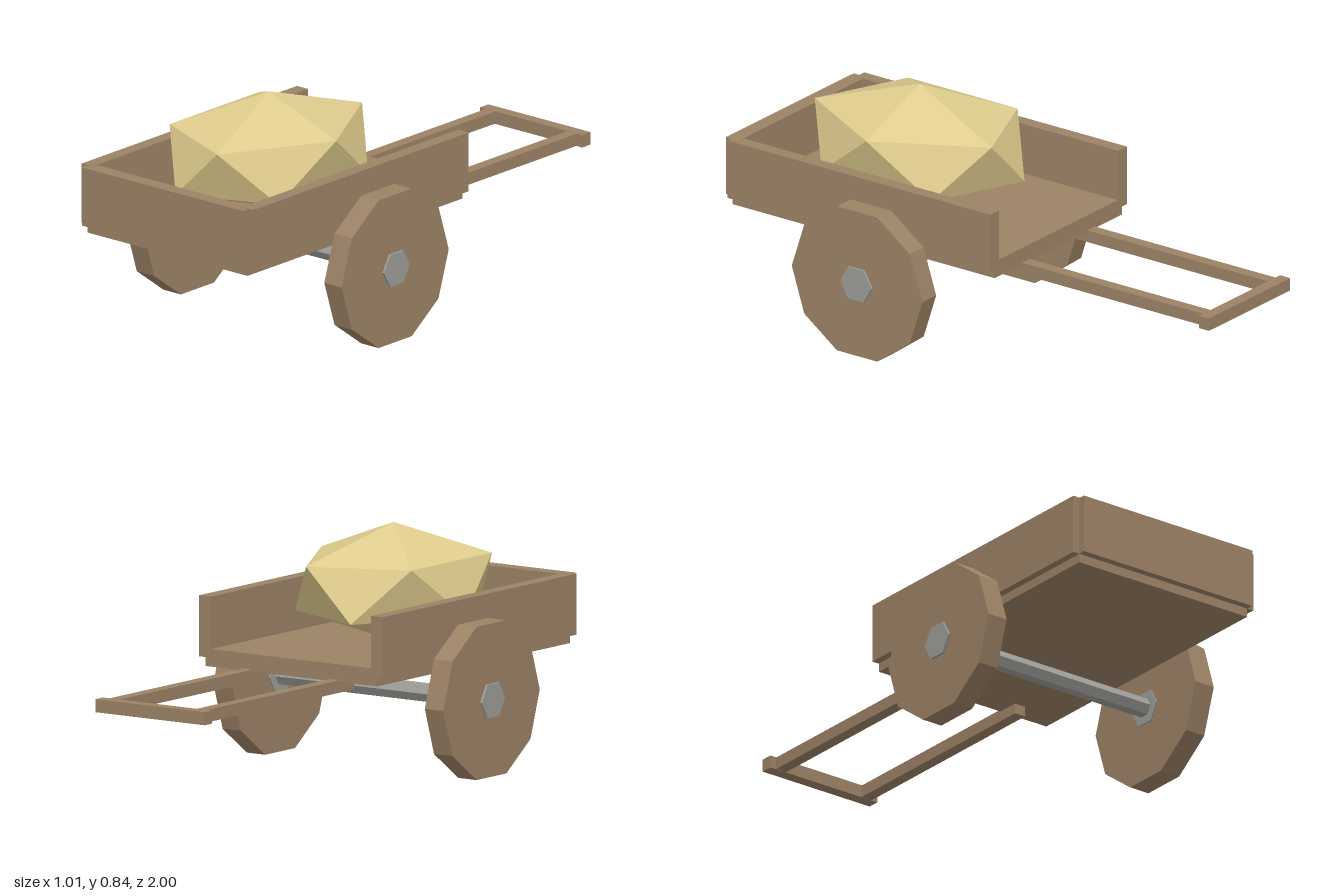
import * as THREE from 'three';
import { ConvexGeometry } from 'three/addons/geometries/ConvexGeometry.js';

export function createModel() {
  const mat = (name, color) => {
    const m = new THREE.MeshStandardMaterial({ color, flatShading: true });
    m.name = name;
    return m;
  };
  const wood = mat('wood', 0x9c8266);
  const iron = mat('iron', 0x9c9c98);
  const straw = mat('straw', 0xdfcc8d);

  const cart = new THREE.Group();
  cart.name = 'handcart';

  const add = (name, geometry, material) => {
    const mesh = new THREE.Mesh(geometry, material);
    mesh.name = name;
    cart.add(mesh);
  };

  // Box given by its extents along each axis
  const box = (name, [x0, x1], [y0, y1], [z0, z1]) => {
    const g = new THREE.BoxGeometry(x1 - x0, y1 - y0, z1 - z0);
    g.translate((x0 + x1) / 2, (y0 + y1) / 2, (z0 + z1) / 2);
    add(name, g, wood);
  };

  // Faceted cylinder lying along x on the axle line
  const disc = (name, radius, x0, x1, sides, material) => {
    const g = new THREE.CylinderGeometry(radius, radius, x1 - x0, sides);
    g.rotateZ(Math.PI / 2).translate((x0 + x1) / 2, 0.27, 0.335);
    add(name, g, material);
  };

  // Bed: open at the back
  box('floor', [-0.368, 0.368], [0.373, 0.435], [-0.168, 0.972]);
  box('frontBoard', [-0.37, 0.37], [0.405, 0.618], [0.945, 1]);

  // Paired parts
  for (const [side, s] of [['left', 1], ['right', -1]]) {
    const span = (a, b) => (s > 0 ? [a, b] : [-b, -a]);
    box(side + 'Wall', span(0.345, 0.395), [0.405, 0.62], [-0.17, 0.973]);
    box(side + 'Shaft', span(0.166, 0.21), [0.336, 0.38], [-0.96, -0.085]);
    disc(side + 'Wheel', 0.284, ...span(0.415, 0.495), 10, wood);
    disc(side + 'Hub', 0.068, ...span(0.41, 0.503), 6, iron);
  }

  box('handleBar', [-0.235, 0.235], [0.335, 0.381], [-1, -0.956]);
  disc('axle', 0.0345, -0.42, 0.42, 6, iron);

  // Straw heap: stretched icosahedron standing on one corner
  const corners = [new THREE.Vector3(0, 1, 0), new THREE.Vector3(0, -1, 0)];
  const ringY = 1 / Math.sqrt(5);
  for (let i = 0; i < 10; i++) {
    const a = (i * Math.PI) / 5;
    corners.push(new THREE.Vector3(
      2 * ringY * Math.cos(a), i % 2 ? -ringY : ringY, 2 * ringY * Math.sin(a)));
  }
  const heap = new ConvexGeometry(corners);
  heap.scale(0.346, 0.209, 0.452).translate(0, 0.627, 0.435);
  add('strawHeap', heap, straw);

  return cart;
}
